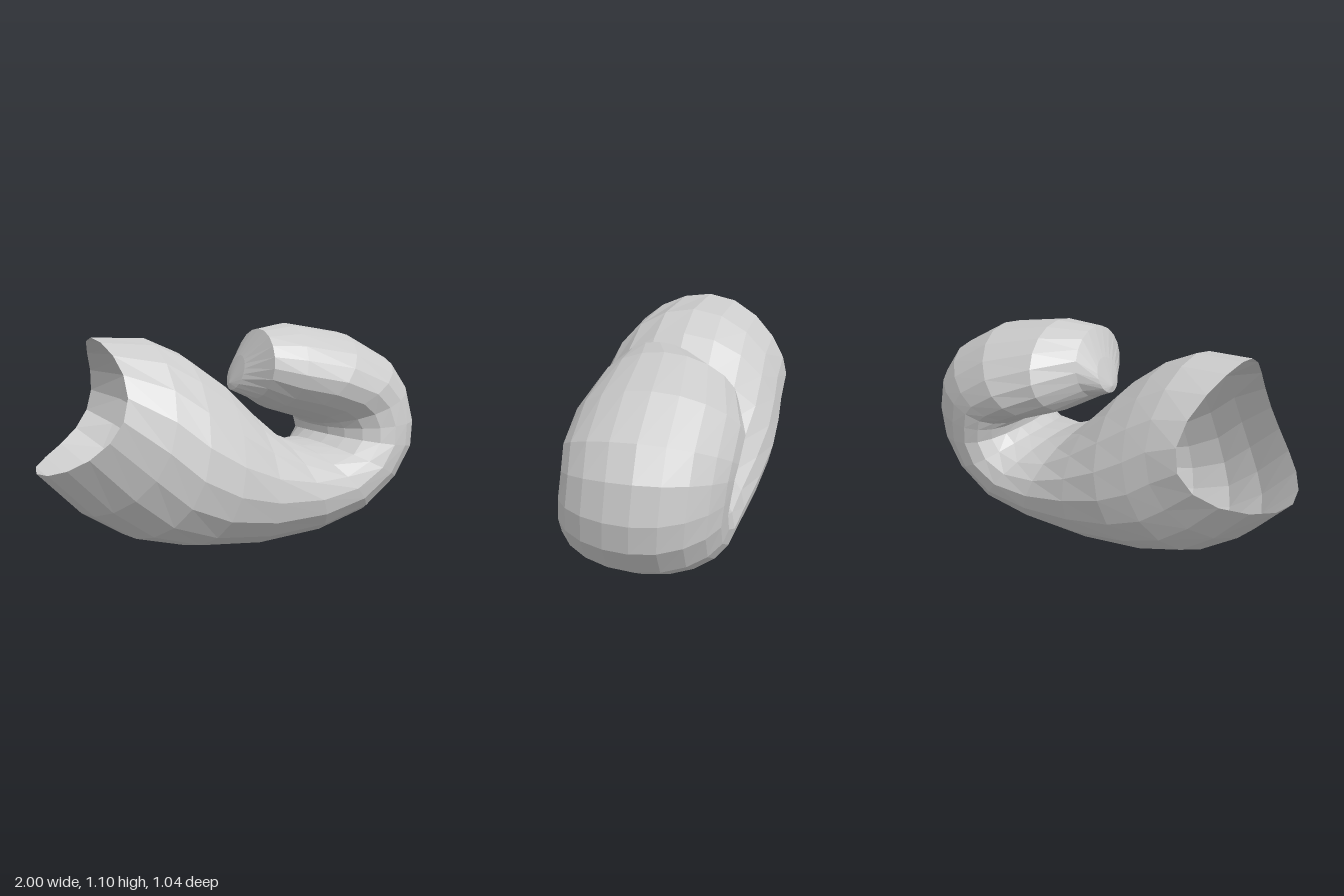
import * as THREE from 'three';

// Cross-sections along the curl: inner x, y, outer x, y, z centre, z half-width
const SECTIONS = [
  [-0.72, 1.04, -1.00, 0.40, -0.07, 0.45],
  [-0.47, 1.035, -0.80, 0.20, -0.02, 0.49],
  [-0.30, 0.96, -0.60, 0.08, 0.00, 0.51],
  [-0.12, 0.83, -0.35, 0.025, 0.01, 0.51],
  [0.03, 0.68, 0.00, 0.00, 0.02, 0.48],
  [0.17, 0.55, 0.36, 0.03, 0.03, 0.44],
  [0.32, 0.49, 0.65, 0.11, 0.02, 0.41],
  [0.43, 0.49, 0.86, 0.27, 0.01, 0.39],
  [0.48, 0.525, 0.98, 0.45, 0.00, 0.38],
  [0.48, 0.56, 1.00, 0.60, -0.01, 0.38],
  [0.46, 0.575, 0.96, 0.78, -0.02, 0.38],
  [0.40, 0.60, 0.86, 0.92, -0.02, 0.39],
  [0.30, 0.63, 0.62, 1.05, -0.03, 0.39],
  [0.20, 0.66, 0.30, 1.10, -0.02, 0.34],
  [0.08, 0.72, 0.12, 1.075, 0.04, 0.22],
  [-0.01, 0.765, 0.045, 0.94, -0.01, 0.09],
];
const SIDES = 20;
const TIP = [-0.015, 0.80, -0.02];

const bump = (i, centre, width) => Math.exp(-(((i - centre) / width) ** 2));

// Shift of a section's front or back side: swept back at the mouth,
// sagging at the front of the belly, slimmer at the back of the bend
function sideShift(i, front) {
  const mouth = Math.max(0, 1 - i / 4);
  return front
    ? [0.15 * mouth, -0.11 * bump(i, 2.4, 2.2) - 0.03 * bump(i, 12.5, 1.5)]
    : [0.24 * mouth ** 1.5 - 0.1 * bump(i, 9.2, 2.4), -0.08 * mouth - 0.06 * bump(i, 11.5, 1.5)];
}

function createTubeGeometry() {
  const positions = [], index = [];
  SECTIONS.forEach(([ix, iy, ox, oy, zc, zh], i) => {
    for (let j = 0; j < SIDES; j++) {
      const a = (j / SIDES) * Math.PI * 2, c = Math.cos(a), s = Math.sin(a);
      const [dx, dy] = sideShift(i, s > 0);
      positions.push(
        (ix + ox) / 2 + (c * (ox - ix)) / 2 + dx * s * s,
        (iy + oy) / 2 + (c * (oy - iy)) / 2 + dy * s * s,
        zc + zh * s
      );
    }
  });
  // Walls between neighbouring sections
  for (let i = 0; i < SECTIONS.length - 1; i++) {
    for (let j = 0; j < SIDES; j++) {
      const k = (j + 1) % SIDES;
      const a = i * SIDES + j, b = i * SIDES + k;
      index.push(a, a + SIDES, b, b, a + SIDES, b + SIDES);
    }
  }
  // Blunt closed tip
  const tip = positions.length / 3, last = (SECTIONS.length - 1) * SIDES;
  positions.push(...TIP);
  for (let j = 0; j < SIDES; j++) index.push(last + j, tip, last + ((j + 1) % SIDES));

  const geometry = new THREE.BufferGeometry();
  geometry.setAttribute('position', new THREE.Float32BufferAttribute(positions, 3));
  geometry.setIndex(index);
  geometry.computeVertexNormals();
  return geometry;
}

export function createModel() {
  const group = new THREE.Group();
  group.name = 'curledTube';
  // Thin shell, open at the wide mouth
  const material = new THREE.MeshStandardMaterial({
    color: 0xcccccc, flatShading: true, side: THREE.DoubleSide,
  });
  const body = new THREE.Mesh(createTubeGeometry(), material);
  body.name = 'tubeShell';
  group.add(body);
  return group;
}
